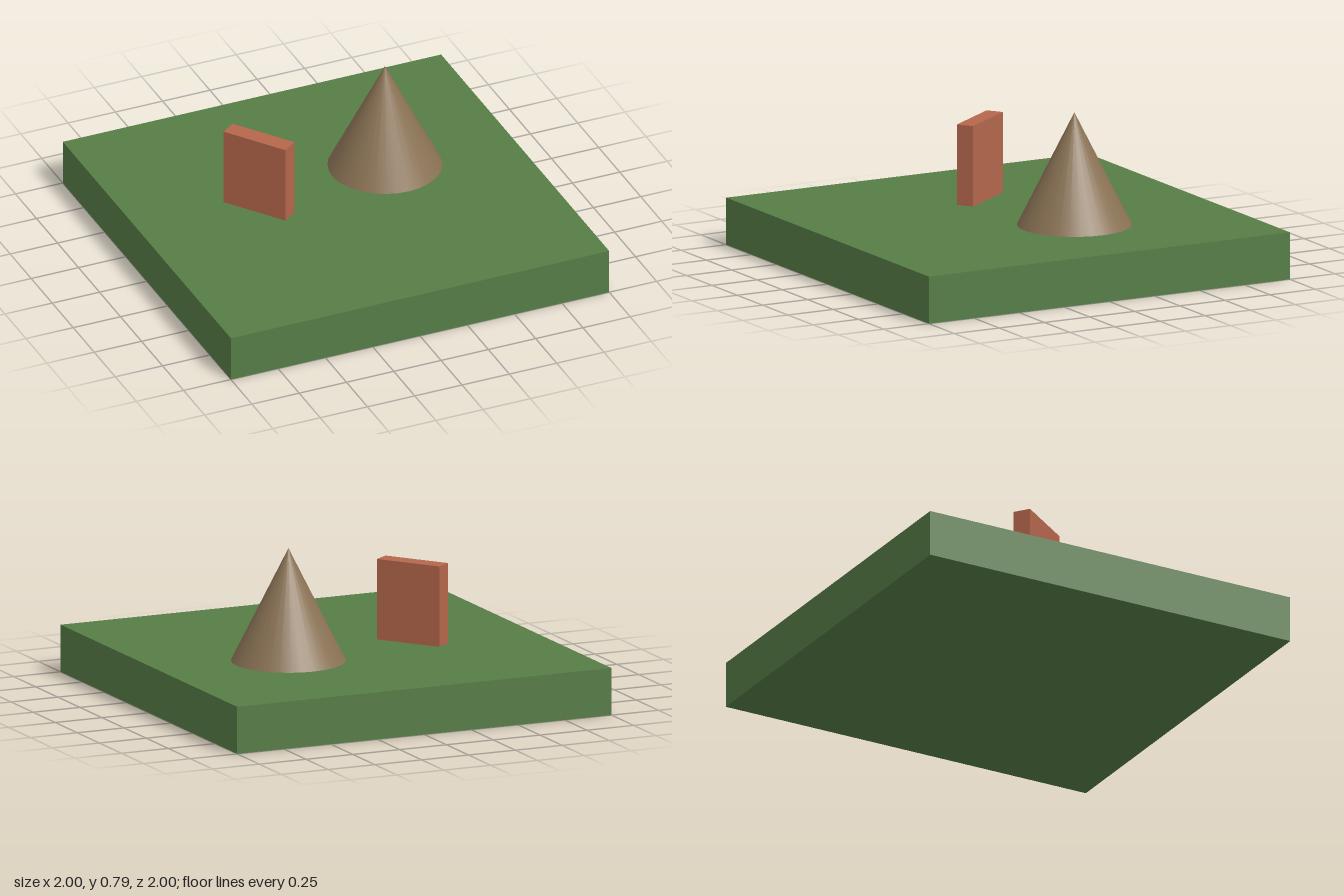
import * as THREE from 'three';

export function createModel() {
  const grass = new THREE.MeshStandardMaterial({ name: 'grass green', color: 0x567d46 });
  const earth = new THREE.MeshStandardMaterial({ name: 'earth brown', color: 0x8b7355 });
  const brick = new THREE.MeshStandardMaterial({ name: 'brick red', color: 0xb5674c });

  const model = new THREE.Group();
  model.name = 'groundWithConeAndWall';
  const groundTop = 0.233;

  const add = (name, geometry, material, x, y, z) => {
    const mesh = new THREE.Mesh(geometry, material);
    mesh.name = name;
    mesh.position.set(x, y, z);
    model.add(mesh);
    return mesh;
  };

  // Square ground block
  add('ground', new THREE.BoxGeometry(2, groundTop, 2), grass, 0, groundTop / 2, 0);

  // Smooth cone mound, standing on the ground
  const coneHeight = 0.555;
  add('mound', new THREE.ConeGeometry(0.278, coneHeight, 32), earth,
    0.338, groundTop + coneHeight / 2, -0.178);

  // Short wall, turned diagonally
  const wallHeight = 0.398;
  const wall = add('wall', new THREE.BoxGeometry(0.344, wallHeight, 0.087), brick,
    -0.381, groundTop + wallHeight / 2, -0.058);
  wall.rotation.y = -0.942;

  return model;
}
